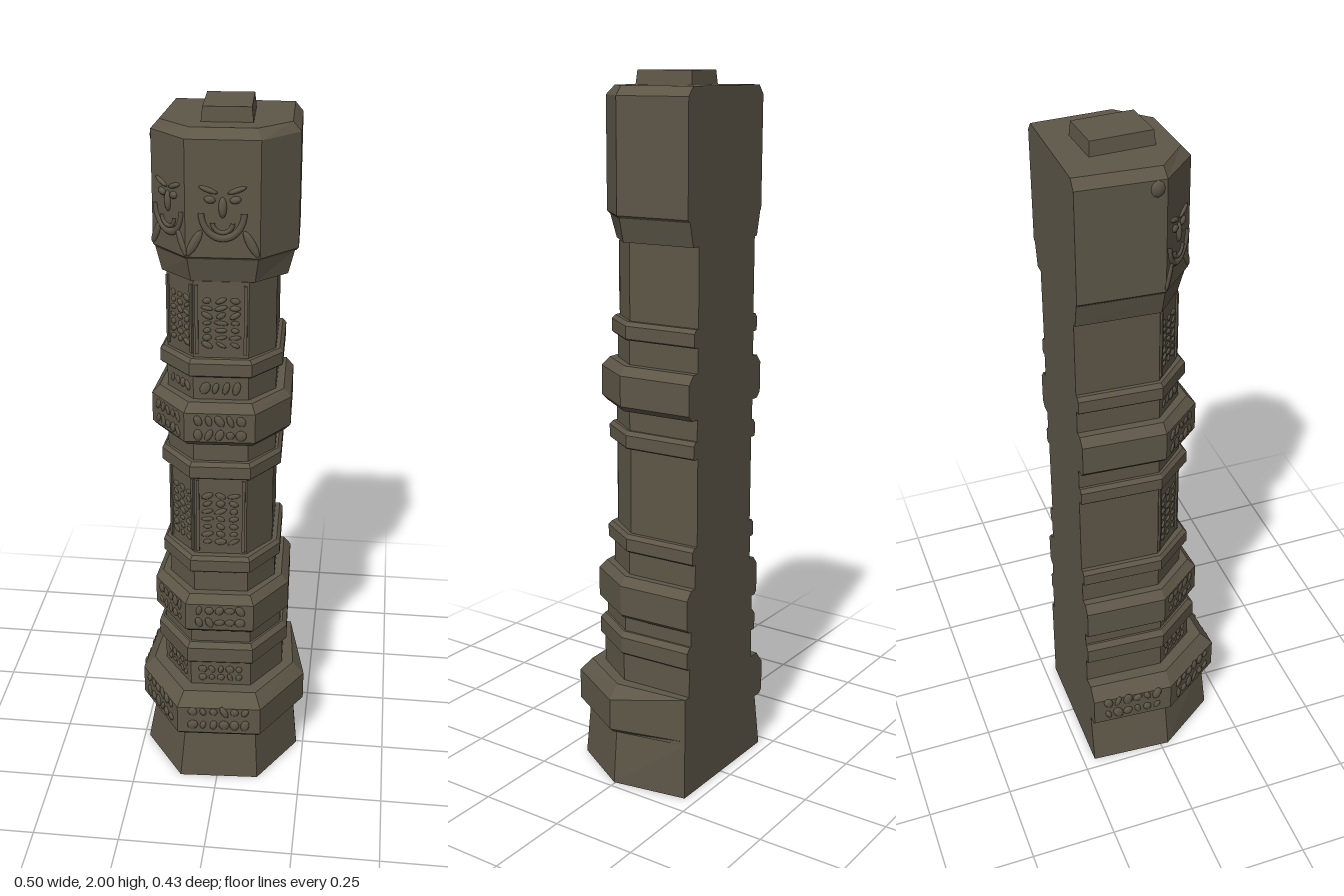
import * as THREE from 'three';
import { mergeGeometries } from 'three/addons/utils/BufferGeometryUtils.js';

const BACK = -0.215;

// Rows are [y, left reach, right reach, front reach]
const neck = (y0, y1, l, r, z) => [[y0, l, r, z], [y1, l, r, z]];

// A moulding whose lower and upper edges are bevelled
function band(y0, y1, l, r, z, low, high) {
  const row = (y, inset) => [y, l - inset, r - inset, z - inset];
  return [row(y0, low), row(y0 + low, 0), row(y1 - high, 0), row(y1, high * 0.9)];
}

function makeSections() {
  return {
    plinth: [[0, 0.235, 0.23, 0.2], [0.165, 0.205, 0.215, 0.187]],
    baseBand: band(0.165, 0.305, 0.246, 0.246, 0.215, 0.012, 0.038),
    lowerNeck: neck(0.305, 0.39, 0.176, 0.178, 0.142),
    lowerRing: band(0.39, 0.455, 0.194, 0.19, 0.155, 0.004, 0.015),
    lowerCollar: neck(0.455, 0.505, 0.174, 0.17, 0.134),
    lowerBand: band(0.5, 0.62, 0.202, 0.192, 0.157, 0.01, 0.024),
    shaftFoot: neck(0.62, 0.69, 0.158, 0.15, 0.113),
    shaftFootRing: band(0.69, 0.74, 0.176, 0.164, 0.131, 0.004, 0.011),
    lowerShaft: neck(0.735, 0.99, 0.154, 0.141, 0.102),
    middleRing: band(0.99, 1.04, 0.175, 0.162, 0.124, 0.004, 0.011),
    middleNeck: neck(1.04, 1.1, 0.157, 0.145, 0.103),
    middleBand: band(1.1, 1.225, 0.2, 0.187, 0.141, 0.016, 0.024),
    upperNeck: neck(1.225, 1.295, 0.156, 0.144, 0.097),
    upperRing: band(1.295, 1.345, 0.175, 0.162, 0.112, 0.004, 0.011),
    upperShaft: neck(1.345, 1.56, 0.154, 0.142, 0.09),
    capitalFoot: [[1.56, 0.166, 0.17, 0.088], [1.625, 0.182, 0.187, 0.104]],
    capital: band(1.625, 1.962, 0.188, 0.197, 0.111, 0.007, 0.025),
  };
}

// Half-hexagonal plan, open side flat against the back plane
function ring([, l, r, z]) {
  return [
    [-l * 0.93, BACK], [-l, 0.12 * z], [-l * 0.47, z],
    [r * 0.53, z * 0.93], [r, z * 0.02], [Math.min(r * 0.95, 0.19), BACK],
  ];
}

function loft(rows) {
  const rings = rows.map((row) => ring(row).map(([x, z]) => [x, row[0], z]));
  const pos = [];
  const tri = (...pts) => pts.forEach((p) => pos.push(...p));
  for (let j = 0; j < rings.length - 1; j++) {
    for (let i = 0; i < 6; i++) {
      const k = (i + 1) % 6, a = rings[j], b = rings[j + 1];
      tri(a[i], a[k], b[k]);
      tri(a[i], b[k], b[i]);
    }
  }
  const low = rings[0], high = rings[rings.length - 1];
  for (let i = 1; i < 5; i++) {
    tri(low[0], low[i + 1], low[i]);
    tri(high[0], high[i], high[i + 1]);
  }
  const g = new THREE.BufferGeometry();
  g.setAttribute('position', new THREE.Float32BufferAttribute(pos, 3));
  g.computeVertexNormals();
  return g;
}

// Frame on a plan face at height y; u runs 0..1 along the face
function faceFrame(rows, face, u, y) {
  let j = 0;
  while (j < rows.length - 2 && y > rows[j + 1][0]) j++;
  const t = (y - rows[j][0]) / (rows[j + 1][0] - rows[j][0]);
  const pts = ring(rows[j].map((v, i) => v + (rows[j + 1][i] - v) * t));
  const a = pts[face], b = pts[face + 1];
  const dx = b[0] - a[0], dz = b[1] - a[1];
  return { x: a[0] + dx * u, z: a[1] + dz * u, angle: Math.atan2(-dz, dx), width: Math.hypot(dx, dz) };
}

function onFace(geo, rows, face, u, y, tilt = 0) {
  const f = faceFrame(rows, face, u, y);
  return geo.rotateZ(tilt).rotateY(f.angle).translate(f.x, y, f.z);
}

function seeded(seed) {
  return () => (seed = (seed * 16807) % 2147483647) / 2147483647;
}

const knob = (w, h, d) => new THREE.SphereGeometry(1, 8, 6).scale(w, h, d);

export function createModel() {
  const group = new THREE.Group();
  const stone = new THREE.MeshStandardMaterial({ color: 0x5e5748 });
  stone.name = 'weathered stone';
  const add = (name, geo) => {
    const mesh = new THREE.Mesh(geo, stone);
    mesh.name = name;
    group.add(mesh);
  };
  const sections = makeSections();
  const rand = seeded(41);

  for (const [name, rows] of Object.entries(sections)) add(name, loft(rows));

  // Worn carving: rows of low, irregular knobs on the left and front faces
  const carve = (name, faces, cols, lines, depth) => {
    const rows = sections[name];
    const bottom = rows[0][0], height = rows[rows.length - 1][0] - bottom;
    const y0 = bottom + height * 0.12, span = height * 0.68;
    const parts = [];
    for (const face of faces) {
      for (let j = 0; j < lines; j++) {
        for (let i = 0; i < cols; i++) {
          const y = y0 + (span * (j + 0.5)) / lines;
          const u = 0.12 + (0.76 * (i + 0.5)) / cols;
          const w = (faceFrame(rows, face, u, y).width * 0.36) / cols;
          const h = (span * 0.42) / lines;
          const g = knob(w * (0.6 + 0.5 * rand()), h * (0.6 + 0.5 * rand()), depth * (0.7 + 0.5 * rand()));
          parts.push(onFace(g, rows, face, u, y, (rand() - 0.5) * 1.2));
        }
      }
    }
    add(name + 'Carving', mergeGeometries(parts));
  };
  carve('baseBand', [0, 1, 2], 6, 2, 0.007);
  for (const name of ['lowerNeck', 'lowerBand', 'middleBand']) carve(name, [1, 2], 5, 2, 0.005);
  carve('upperNeck', [1, 2], 4, 1, 0.005);

  // Shaft panels: carving between raised borders
  for (const name of ['lowerShaft', 'upperShaft']) {
    carve(name, [1, 2], 3, 7, 0.005);
    const rows = sections[name];
    const height = rows[1][0] - rows[0][0];
    const strips = [];
    for (const face of [1, 2]) {
      for (const u of [0.06, 0.94]) {
        const strip = new THREE.BoxGeometry(0.009, height * 0.9, 0.01);
        strips.push(onFace(strip, rows, face, u, rows[0][0] + height / 2));
      }
    }
    add(name + 'Border', mergeGeometries(strips));
  }

  // Carved mask on the front and left faces of the capital
  const mask = [];
  for (const face of [1, 2]) {
    const put = (g, u, y, tilt) => mask.push(onFace(g, sections.capital, face, u, y, tilt));
    const arc = (radius, tube) => new THREE.TorusGeometry(radius, tube, 6, 18, Math.PI).rotateZ(Math.PI);
    put(arc(0.055, 0.008).scale(1, 1.2, 0.8), 0.5, 1.75);
    put(arc(0.026, 0.006), 0.5, 1.725);
    put(knob(0.011, 0.028, 0.01), 0.5, 1.765);
    for (const s of [-1, 1]) {
      put(knob(0.015, 0.01, 0.008), 0.5 + s * 0.17, 1.785, s * 0.2);
      put(knob(0.026, 0.007, 0.007), 0.5 + s * 0.19, 1.81, s * 0.35);
      put(knob(0.012, 0.04, 0.006), 0.5 + s * 0.38, 1.67, s * 0.5);
    }
  }
  add('capitalMask', mergeGeometries(mask));
  add('cornerKnob', knob(0.014, 0.025, 0.022).translate(-0.18, 1.915, -0.01));

  // Tapered block on top
  const block = new THREE.BoxGeometry(0.136, 0.05, 0.175);
  const p = block.attributes.position;
  for (let i = 0; i < p.count; i++) {
    if (p.getY(i) > 0) p.setXYZ(i, p.getX(i) * 0.92, p.getY(i), p.getZ(i) * 0.95);
  }
  block.computeVertexNormals();
  add('topBlock', block.rotateY(0.05).translate(0.006, 1.975, -0.057));

  return group;
}
